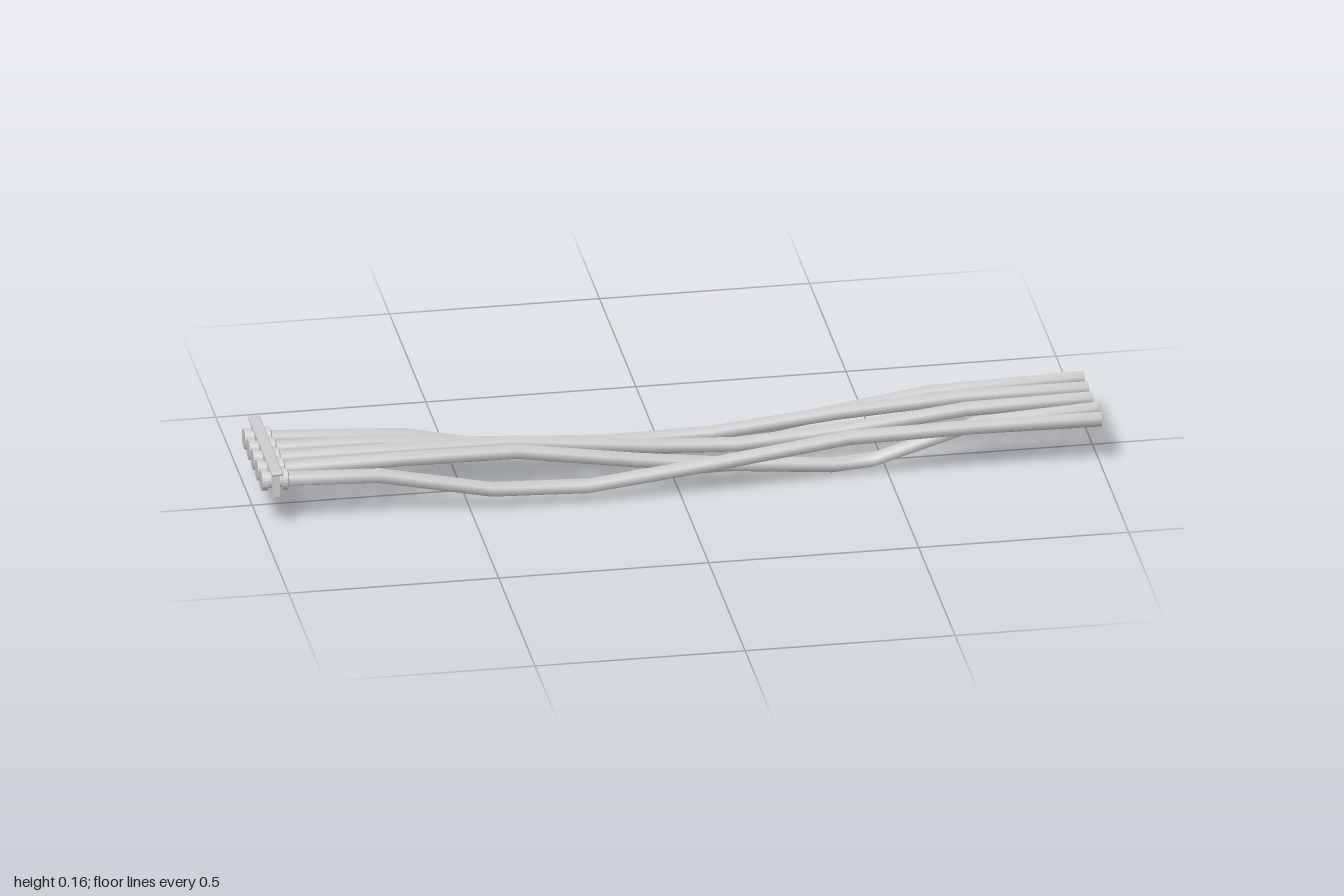
import * as THREE from 'three';
import { RoundedBoxGeometry } from 'three/addons/geometries/RoundedBoxGeometry.js';

const mat = new THREE.MeshStandardMaterial({ color: 0xcccccc });
const cableMat = new THREE.MeshStandardMaterial({ color: 0xcccccc, side: THREE.DoubleSide });

// Hexagonal sleeve swept along x; every section stays upright, corner up
function cableGeometry(points, z, radius = 0.019, sides = 6) {
  const pos = [], index = [];
  points.forEach(([x, y], i) => {
    for (let j = 0; j < sides; j++) {
      const a = (j / sides) * Math.PI * 2;
      pos.push(x, y + radius * Math.cos(a), z + radius * Math.sin(a));
      if (i === points.length - 1) continue;
      const k = (j + 1) % sides, p = i * sides, q = p + sides;
      index.push(p + j, p + k, q + j, p + k, q + k, q + j);
    }
  });
  const g = new THREE.BufferGeometry();
  g.setAttribute('position', new THREE.Float32BufferAttribute(pos, 3));
  g.setIndex(index);
  g.computeVertexNormals();
  return g;
}

export function createModel() {
  const model = new THREE.Group();
  const add = (name, geometry, x, y, z, material = mat) => {
    const mesh = new THREE.Mesh(geometry, material);
    mesh.name = name;
    mesh.position.set(x, y, z);
    model.add(mesh);
    return mesh;
  };

  // Sagging cables, front to back: z and (x, y) bends between the fixed ends
  const cables = [
    [0.117, [[-0.72, 0.11], [-0.45, 0.053], [-0.22, 0.044], [0.1, 0.08], [0.4, 0.119], [0.7, 0.124]]],
    [0.059, [[-0.65, 0.121], [-0.38, 0.119], [-0.1, 0.075], [0.1, 0.05], [0.37, 0.025], [0.47, 0.032], [0.71, 0.105]]],
    [0, [[-0.7, 0.118], [-0.38, 0.115], [-0.05, 0.08], [0.15, 0.069], [0.4, 0.085], [0.7, 0.117]]],
    [-0.057, [[-0.7, 0.115], [-0.4, 0.088], [-0.15, 0.073], [0.1, 0.076], [0.4, 0.105], [0.7, 0.122]]],
    [-0.117, [[-0.62, 0.1], [-0.27, 0.023], [0.02, 0.021], [0.3, 0.064], [0.63, 0.112]]],
  ];

  // Collar profile: wide head behind the plate, step down towards the cable
  const collarProfile = [[0, -1], [0.025, -1], [0.025, -0.985], [0.02, -0.985], [0.02, -0.952],
    [0.026, -0.952], [0.026, -0.938], [0.018, -0.935], [0, -0.935]];
  const collar = new THREE.LatheGeometry(
    collarProfile.map(([r, h]) => new THREE.Vector2(r, h)), 20);
  collar.rotateZ(-Math.PI / 2);
  const collarMat = new THREE.MeshStandardMaterial({ color: 0xcccccc, flatShading: true });

  for (const [z, bends] of cables) {
    add('cable', cableGeometry([[-0.95, 0.12], ...bends, [1, 0.12]], z), 0, 0, 0, cableMat);
    add('collar', collar, 0, 0.12, z, collarMat);
  }

  // Mounting plate with its overhanging top rail
  add('mountingPlate', new THREE.BoxGeometry(0.018, 0.065, 0.295), -0.968, 0.12, 0);
  add('topRail', new RoundedBoxGeometry(0.028, 0.009, 0.33, 2, 0.004), -0.968, 0.153, 0);

  return model;
}
